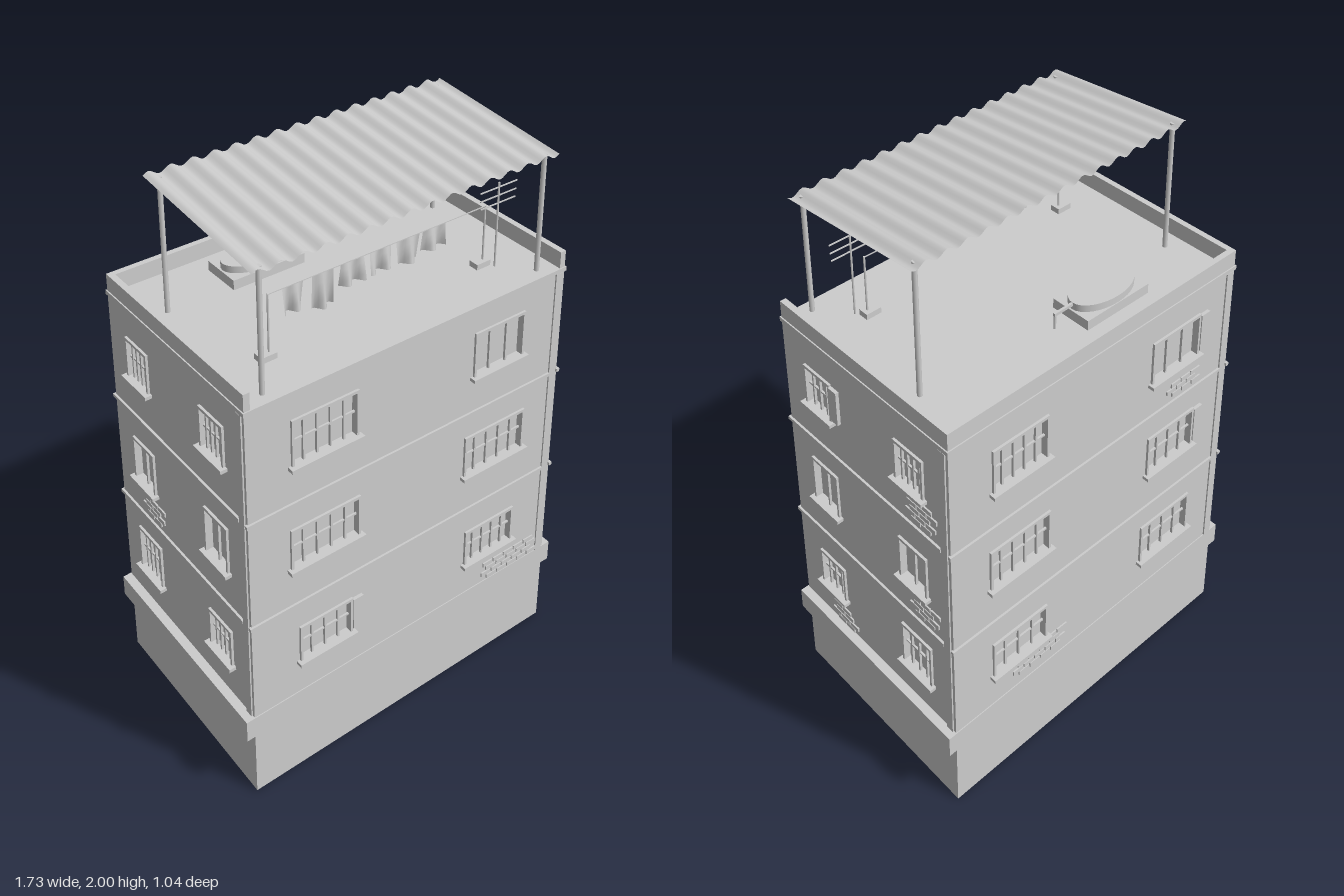
import * as THREE from 'three';

const HU = 0.713, HV = 0.463;           // half length and half depth of the building
const WALL = 0.02, Y0 = 0.33, Y1 = 1.505; // facade thickness, bottom and top

// Skewed plan: long sides turned 5 degrees, short sides 15 degrees
const skew = new THREE.Matrix4().makeBasis(
  new THREE.Vector3(0.9962, 0, 0.0872),
  new THREE.Vector3(0, 1, 0),
  new THREE.Vector3(-0.2588, 0, 0.9659));

export function createModel() {
  const model = new THREE.Group();
  model.name = 'apartmentBlock';
  const plaster = new THREE.MeshStandardMaterial({ color: 0xcccccc, side: THREE.DoubleSide });
  plaster.name = 'greyPlaster';

  const group = (name, parent = model) => {
    const g = new THREE.Group();
    g.name = name;
    parent.add(g);
    return g;
  };
  const add = (parent, name, geo, place) => {
    if (place) geo.applyMatrix4(place);
    geo.applyMatrix4(skew);
    const mesh = new THREE.Mesh(geo, plaster);
    mesh.name = name;
    parent.add(mesh);
  };
  // Box given by its ranges
  const box = (parent, name, x0, x1, y0, y1, z0, z1, place) =>
    add(parent, name, new THREE.BoxGeometry(x1 - x0, y1 - y0, z1 - z0)
      .translate((x0 + x1) / 2, (y0 + y1) / 2, (z0 + z1) / 2), place);
  const rod = (parent, name, x, z, y0, y1, r) =>
    add(parent, name, new THREE.CylinderGeometry(r, r, y1 - y0, 8).translate(x, (y0 + y1) / 2, z));

  // Main volumes
  box(model, 'base', -HU, HU, 0, 0.26, -HV, HV);
  box(model, 'baseLedge', -HU - 0.036, HU + 0.036, 0.25, 0.33, -HV - 0.004, HV + 0.004);
  box(model, 'core', -HU + WALL, HU - WALL, 0.3, 1.5, -HV + WALL, HV - WALL);
  box(model, 'roofSlab', -HU - 0.005, HU + 0.005, 1.5, 1.515, -HV - 0.005, HV + 0.005);

  // Parapet on three sides, open at the front
  const parapet = group('parapet');
  box(parapet, 'parapetBack', -HU, HU, 1.515, 1.575, -HV, -HV + 0.025);
  for (const s of [-1, 1])
    add(parapet, 'parapetSide', new THREE.BoxGeometry(0.025, 0.06, 2 * HV - 0.025)
      .translate(s * (HU - 0.0125), 1.545, 0.0125));

  // Window set in the opening: frame, glazing bars, sill, optional shutter
  function windowUnit(parent, M, [a, y0, y1, w, cols, rows, shutter]) {
    const g = group('window', parent), l = a - w / 2, r = a + w / 2, t = 0.01;
    const z0 = -WALL, z1 = 0.01;
    box(g, 'frameLeft', l, l + t, y0, y1, z0, z1, M);
    box(g, 'frameRight', r - t, r, y0, y1, z0, z1, M);
    box(g, 'frameTop', l + t, r - t, y1 - t, y1, z0, z1, M);
    box(g, 'sill', l - 0.012, r + 0.012, y0 - 0.012, y0, z0, 0.028, M);
    for (let i = 1; i < cols; i++) {
      const x = l + w * i / cols;
      box(g, 'uprightBar', x - 0.004, x + 0.004, y0, y1 - t, -0.012, -0.002, M);
    }
    for (let j = 1; j < rows; j++) {
      const y = y0 + (y1 - y0) * j / rows;
      box(g, 'crossBar', l + t, r - t, y - 0.003, y + 0.003, -0.012, -0.004, M);
    }
    if (shutter) box(g, 'shutter', r, r + 0.045, y0 + 0.012, y1 - 0.006, 0, 0.014, M);
  }

  // Patch of exposed bricks in staggered rows
  function brickPatch(parent, M, [x0, x1, y0, rows]) {
    const g = group('exposedBricks', parent), bw = 0.05, bh = 0.016, pitch = 0.055;
    for (let j = 0; j < rows; j++) {
      const inset = [0.03, 0, 0.024, 0.008, 0.036][j % 5];
      for (let x = x0 + inset; x + bw <= x1 + 0.02 - inset / 3; x += pitch)
        box(g, 'brick', x, x + bw, y0 + j * 0.02, y0 + j * 0.02 + bh, -0.002, 0.006, M);
    }
  }

  // Facade: panel with window openings, storey bands and a corner strip
  function facade({ name, turn, half, out, windows, bricks }) {
    const g = group(name);
    const M = new THREE.Matrix4().makeRotationY(turn)
      .multiply(new THREE.Matrix4().makeTranslation(0, 0, out));
    const full = out === HV ? half : half - WALL;
    const shape = new THREE.Shape([[-full, Y0], [full, Y0], [full, Y1], [-full, Y1]]
      .map(p => new THREE.Vector2(...p)));
    for (const [a, y0, y1, w] of windows) {
      const l = a - w / 2, r = a + w / 2;
      shape.holes.push(new THREE.Path([[l, y0], [l, y1], [r, y1], [r, y0]]
        .map(p => new THREE.Vector2(...p))));
    }
    add(g, 'wallPanel', new THREE.ExtrudeGeometry(shape, { depth: WALL, bevelEnabled: false })
      .translate(0, 0, -WALL), M);
    for (const y of [0.7, 1.1]) box(g, 'storeyBand', -half - 0.008, half - 0.045, y, y + 0.012, -0.005, 0.009, M);
    box(g, 'cornerStrip', half - 0.045, half - 0.012, Y0, 1.5, -0.005, 0.006, M);
    windows.forEach(w => windowUnit(g, M, w));
    bricks.forEach(b => brickPatch(g, M, b));
  }

  // Windows: centre, bottom, top, width, columns, rows, shutter
  const F = 0.395, S = 0.257;
  facade({
    name: 'frontFacade', turn: 0, half: HU, out: HV,
    windows: [
      [-F, 1.25, 1.415, 0.28, 5, 2], [F, 1.25, 1.415, 0.245, 3, 1],
      [-F, 0.86, 1.01, 0.3, 5, 2], [F, 0.86, 1.015, 0.3, 5, 2],
      [-F, 0.465, 0.605, 0.235, 4, 2, true], [F, 0.465, 0.605, 0.25, 5, 2]],
    bricks: [[0.37, 0.67, 0.335, 4]]
  });
  facade({
    name: 'backFacade', turn: Math.PI, half: HU, out: HV,
    windows: [
      [-F, 1.25, 1.41, 0.26, 5, 2], [F, 1.25, 1.41, 0.26, 3, 1, true],
      [-F, 0.86, 1.015, 0.29, 5, 2], [F, 0.86, 1.015, 0.26, 4, 2, true],
      [-F, 0.465, 0.605, 0.27, 4, 2], [F, 0.465, 0.62, 0.28, 4, 2]],
    bricks: [[-0.43, -0.15, 0.37, 4], [0.36, 0.54, 1.13, 3]]
  });
  const sideWindows = [
    [-S, 1.255, 1.4, 0.155, 4, 2, true], [S, 1.255, 1.4, 0.155, 5, 2],
    [-S, 0.85, 1.02, 0.155, 2, 1], [S, 0.85, 1.01, 0.155, 2, 1],
    [-S, 0.465, 0.605, 0.155, 4, 2], [S, 0.46, 0.625, 0.17, 4, 2]];
  facade({
    name: 'leftFacade', turn: Math.PI / 2, half: HV, out: HU, windows: sideWindows,
    bricks: [[0.23, 0.4, 1.13, 5], [0.23, 0.4, 0.73, 4], [-0.28, -0.13, 0.335, 4]]
  });
  facade({
    name: 'rightFacade', turn: -Math.PI / 2, half: HV, out: HU,
    windows: sideWindows.map(([a, y0, y1, w, c, r]) => [-a, y0, y1, w, c === 2 ? 2 : 5, r]),
    bricks: [[-0.29, -0.13, 0.73, 4]]
  });

  // Corrugated canopy on four posts
  const canopy = group('canopy');
  const zBack = -0.235, zFront = 0.446;
  const canopyY = z => 1.991 + (1.938 - 1.991) * (z - zBack) / (zFront - zBack);
  const sheet = new THREE.PlaneGeometry(1.31, zFront - zBack, 15 * 8, 1).rotateX(-Math.PI / 2)
    .translate(0, 0, (zBack + zFront) / 2);
  const p = sheet.attributes.position;
  for (let i = 0; i < p.count; i++)
    p.setY(i, canopyY(p.getZ(i)) + 0.009 * Math.sin((p.getX(i) / 1.31 + 0.5) * Math.PI * 30));
  sheet.computeVertexNormals();
  add(canopy, 'corrugatedSheet', sheet);
  for (const x of [-0.611, 0.611])
    for (const z of [-0.199, 0.416]) rod(canopy, 'post', x, z, 1.51, canopyY(z), 0.01);

  // Washing line with hanging clothes
  const line = group('washingLine');
  for (const x of [-0.48, 0.48]) {
    rod(line, 'linePole', x, 0.258, 1.51, 1.735, 0.004);
    box(line, 'poleFoot', x - 0.045, x + 0.02, 1.51, 1.535, 0.235, 0.28);
  }
  box(line, 'cord', -0.48, 0.48, 1.731, 1.734, 0.2565, 0.2595);
  const clothes = [[-0.38, 0.085, 0.09], [-0.255, 0.09, 0.12], [-0.13, 0.1, 0.078],
    [-0.008, 0.095, 0.075], [0.115, 0.105, 0.09], [0.235, 0.105, 0.075]];
  clothes.forEach(([x, w, h], k) => {
    const cloth = new THREE.PlaneGeometry(w, h, 10, 4);
    const q = cloth.attributes.position;
    for (let i = 0; i < q.count; i++) {
      const drop = 0.5 - q.getY(i) / h;
      q.setZ(i, 0.018 * drop * Math.sin(q.getX(i) / w * 9 + k * 1.7));
    }
    cloth.computeVertexNormals();
    add(line, 'cloth', cloth.translate(x, 1.73 - h / 2, 0.258));
  });

  // Aerial
  const aerial = group('aerial');
  rod(aerial, 'mast', 0.508, 0.296, 1.51, 1.825, 0.004);
  for (const [y, w] of [[1.808, 0.09], [1.778, 0.088], [1.75, 0.085]])
    box(aerial, 'aerialBar', 0.508 - w, 0.508 + w, y - 0.002, y + 0.002, 0.294, 0.298);

  // Low tank with oval lid and overflow pipe
  const tank = group('roofTank');
  box(tank, 'tankBase', -0.351, -0.037, 1.51, 1.55, -0.35, -0.172);
  add(tank, 'tankLid', new THREE.CylinderGeometry(1, 1, 0.025, 32).scale(0.15, 1, 0.086)
    .translate(-0.194, 1.5625, -0.261));
  box(tank, 'pipeArm', -0.06, 0.045, 1.563, 1.573, -0.265, -0.255);
  rod(tank, 'pipeDrop', 0.04, -0.26, 1.51, 1.57, 0.005);

  return model;
}
